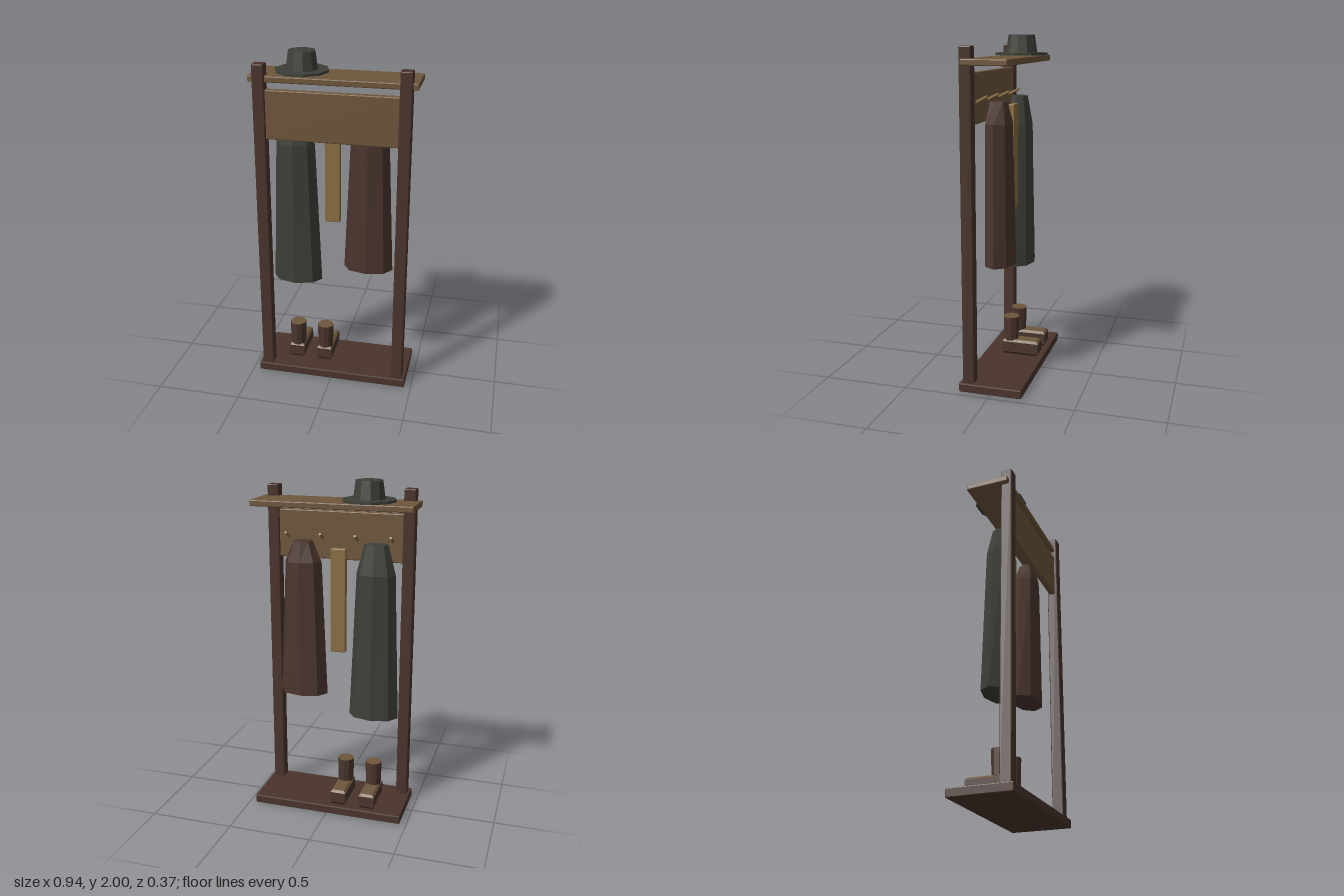
import * as THREE from 'three';
import { RoundedBoxGeometry } from 'three/addons/geometries/RoundedBoxGeometry.js';

const mat = (name, color) => {
  const m = new THREE.MeshStandardMaterial({ color, flatShading: true });
  m.name = name;
  return m;
};

export function createModel() {
  const root = new THREE.Group();
  const darkWood = mat('darkWood', 0x4a342c);
  const lightWood = mat('lightWood', 0x6e563b);
  const tan = mat('tan', 0x8a6e42);
  const green = mat('greenCloth', 0x3c4037);
  const brown = mat('brownCloth', 0x4b352e);

  const add = (name, geometry, material, parent = root) => {
    const mesh = new THREE.Mesh(geometry, material);
    mesh.name = name;
    parent.add(mesh);
    return mesh;
  };

  // Softly bevelled box given by its limits on each axis
  const box = (name, [x0, x1], [y0, y1], [z0, z1], material) => {
    const g = new RoundedBoxGeometry(x1 - x0, y1 - y0, z1 - z0, 1, 0.006);
    g.translate((x0 + x1) / 2, (y0 + y1) / 2, (z0 + z1) / 2);
    return add(name, g, material);
  };

  // Box whose top and bottom faces are drawn in by an inset
  const taperedBox = (w, y0, y1, d, topInset, bottomInset) => {
    const g = new THREE.BoxGeometry(w, y1 - y0, d);
    const p = g.attributes.position;
    for (let i = 0; i < p.count; i++) {
      const inset = p.getY(i) > 0 ? topInset : bottomInset;
      p.setX(i, p.getX(i) - Math.sign(p.getX(i)) * inset);
      p.setZ(i, p.getZ(i) - Math.sign(p.getZ(i)) * inset);
    }
    g.translate(0, (y0 + y1) / 2, 0);
    g.computeVertexNormals();
    return g;
  };

  // Rack frame
  box('base', [-0.46, 0.46], [0, 0.052], [-0.185, 0.185], darkWood);
  for (const s of [-1, 1]) {
    const g = new RoundedBoxGeometry(0.068, 1.895, 0.068, 1, 0.006);
    add(s > 0 ? 'leftPost' : 'rightPost', g, darkWood).position.set(s * 0.408, 0.9975, 0.133);
  }
  box('backPanel', [-0.377, 0.377], [1.52, 1.803], [0.113, 0.15], lightWood);
  box('hatShelf', [-0.472, 0.472], [1.843, 1.879], [-0.11, 0.15], lightWood);

  // Pegs slanting up and away from the panel
  for (const x of [-0.315, -0.105, 0.105, 0.315]) {
    const peg = add('peg', new THREE.CylinderGeometry(0.008, 0.008, 0.08, 6), tan);
    peg.position.set(x, 1.657, 0.085);
    peg.rotation.x = -1.1;
  }

  // Hanging coats: eight-sided rings, each [y, half width, half depth, z centre]
  const coat = (name, x, rings, material) => {
    const g = new THREE.CylinderGeometry(1, 1, 1, 8, rings.length - 1);
    const p = g.attributes.position;
    for (let i = 0; i < p.count; i++) {
      const row = Math.round((0.5 - p.getY(i)) * (rings.length - 1));
      const [y, w, d, z] = rings[row];
      p.setXYZ(i, p.getX(i) * w, y, p.getZ(i) * d + z);
    }
    g.computeVertexNormals();
    add(name, g, material).position.x = x;
  };
  coat('greenCoat', -0.241, [
    [1.64, 0.07, 0.05, 0.022],
    [1.47, 0.115, 0.078, 0.019],
    [0.6, 0.15, 0.088, 0.012],
  ], green);
  coat('brownCoat', 0.195, [
    [1.64, 0.058, 0.052, 0.022],
    [1.52, 0.111, 0.08, 0.019],
    [0.71, 0.147, 0.088, 0.012],
  ], brown);

  // Scarf
  box('scarf', [-0.07, 0.021], [0.99, 1.61], [-0.018, 0.018], tan);

  // Hat on the shelf
  const hat = new THREE.Group();
  hat.name = 'hat';
  hat.position.x = -0.2;
  hat.rotation.y = Math.PI / 2;
  root.add(hat);
  add('hatBrim', new THREE.CylinderGeometry(0.155, 0.155, 0.014, 10), green, hat).position.y = 1.89;
  add('hatCrown', new THREE.CylinderGeometry(0.078, 0.093, 0.104, 10), green, hat).position.y = 1.948;

  // Boots, toes pointing to the back
  for (const x of [-0.245, -0.068]) {
    const boot = new THREE.Group();
    boot.name = 'boot';
    boot.position.x = x;
    root.add(boot);
    const foot = [
      ['bootSole', taperedBox(0.094, 0.052, 0.068, 0.228, 0, 0.012), brown],
      ['bootFoot', taperedBox(0.094, 0.068, 0.133, 0.228, 0, 0), brown],
      ['bootUpper', taperedBox(0.094, 0.133, 0.146, 0.228, 0.013, 0), lightWood],
    ];
    for (const [name, g, m] of foot) add(name, g, m, boot).position.z = -0.043;
    const shaft = new THREE.CylinderGeometry(0.05, 0.046, 0.15, 10);
    add('bootShaft', shaft, [brown, lightWood, brown], boot).position.set(0, 0.215, 0.025);
  }

  return root;
}
